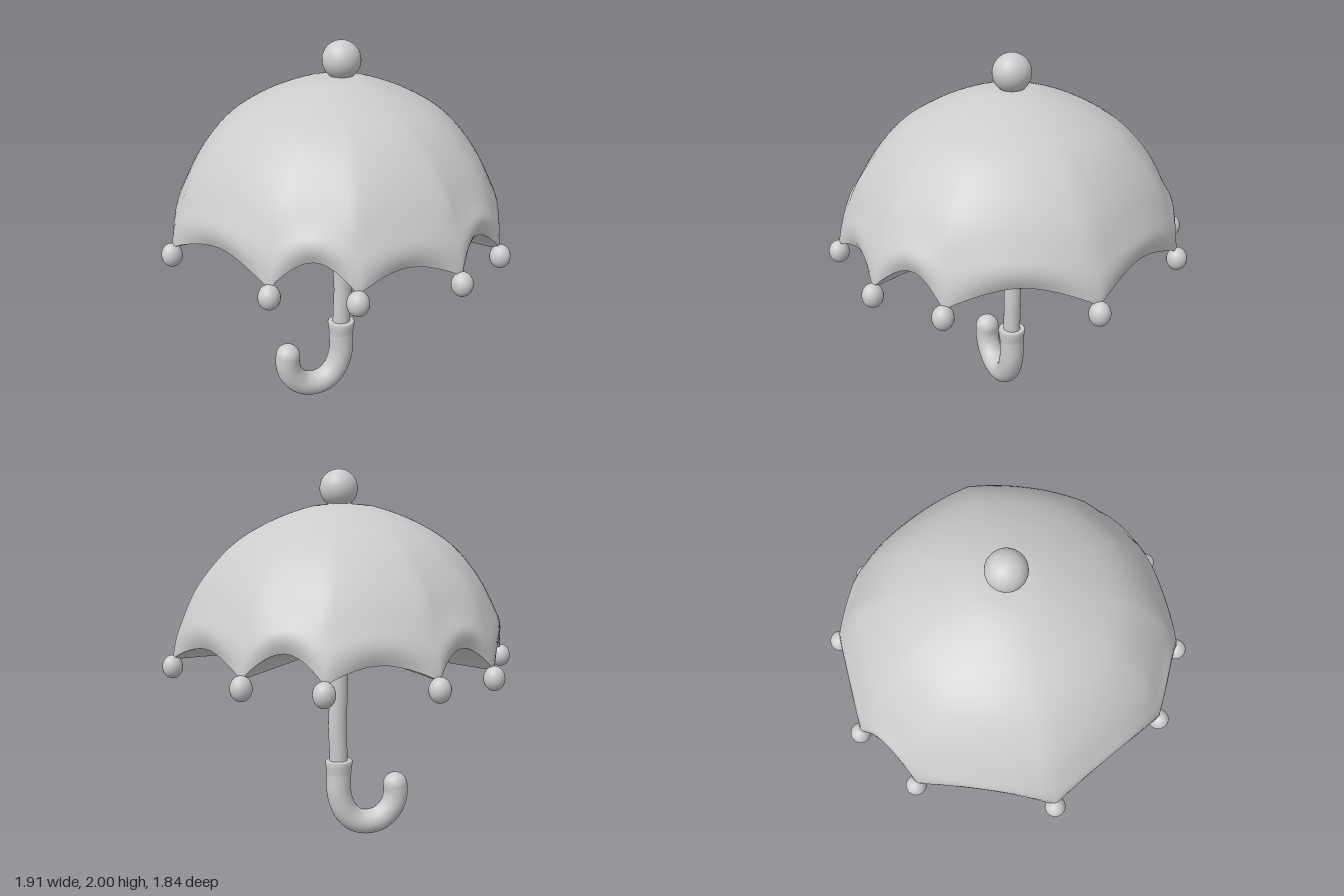
import * as THREE from 'three';

const grey = new THREE.MeshStandardMaterial({ color: 0xcccccc });
grey.name = 'soft grey';

// Rib tips around the rim: angle from +x towards +z, and distance from the axis
const ribAngles = [0, 47, 73, 107, 133, 180, 227, 253, 287, 313, 360];
const ribRadii = [0.9, 0.89, 0.905, 0.905, 0.89, 0.9, 0.89, 0.905, 0.905, 0.89, 0.9];
const STEPS = 12;

function addMesh(parent, geometry, name, x = 0, y = 0, z = 0) {
  const mesh = new THREE.Mesh(geometry, grey);
  mesh.name = name;
  mesh.position.set(x, y, z);
  parent.add(mesh);
  return mesh;
}

// Direction, radius and scallop lift of each column of the canopy
function rimColumns() {
  const columns = [];
  for (let k = 0; k < 10; k++) {
    const gap = ribAngles[k + 1] - ribAngles[k];
    const midRadius = gap > 40 ? 0.845 : gap > 30 ? 0.868 : 0.87;
    const height = gap > 40 ? 0.095 : gap > 30 ? 0.075 : 0.125;
    for (let s = 0; s < STEPS; s++) {
      const f = s / STEPS;
      const arch = Math.sin(Math.PI * f);
      const chord = THREE.MathUtils.lerp(ribRadii[k], ribRadii[k + 1], f);
      columns.push({
        angle: THREE.MathUtils.degToRad(ribAngles[k] + gap * f),
        radius: THREE.MathUtils.lerp(chord, midRadius, arch),
        arch,
        lift: height * Math.pow(arch, 0.85),
      });
    }
  }
  return columns;
}

function buildCanopy(group) {
  const columns = rimColumns();
  const n = columns.length;
  const profile = new THREE.SplineCurve([
    [0, 1.822], [0.17, 1.808], [0.4, 1.725], [0.6, 1.6], [0.77, 1.4],
    [0.86, 1.2], [0.89, 1.1], [0.9, 1.025],
  ].map(([r, y]) => new THREE.Vector2(r, y)));
  const rings = 32;
  const positions = [];
  const index = [];
  for (let i = 0; i <= rings; i++) {
    const p = profile.getPointAt(i / rings);
    const low = THREE.MathUtils.clamp((1.822 - p.y) / 0.797, 0, 1);
    const nearRim = THREE.MathUtils.smoothstep(low, 0.55, 1);
    columns.forEach((c, j) => {
      const scale = THREE.MathUtils.lerp(0.985, c.radius / 0.9, low);
      // the cloth rises and tucks in between the ribs
      const r = p.x * scale - 0.035 * c.arch * Math.pow(low, 14);
      positions.push(r * Math.cos(c.angle), p.y + c.lift * nearRim, r * Math.sin(c.angle));
      if (i === rings) return;
      const a = i * n + j, d = i * n + (j + 1) % n;
      index.push(a, d + n, a + n);
      if (i > 0) index.push(a, d, d + n);
    });
  }
  const dome = new THREE.BufferGeometry();
  dome.setAttribute('position', new THREE.Float32BufferAttribute(positions, 3));
  dome.setIndex(index);
  dome.computeVertexNormals();
  // the zero-size first ring takes a plain upward normal
  for (let j = 0; j < n; j++) dome.attributes.normal.setXYZ(j, 0, 1, 0);
  addMesh(group, dome, 'canopy');

  // Pleated underside: a fan from the shaft to the rim
  const rim = positions.slice(rings * n * 3);
  const fan = [];
  for (let j = 0; j < n; j++) {
    const k = (j + 1) % n;
    fan.push(0.02, 1.07, 0, ...rim.slice(j * 3, j * 3 + 3), ...rim.slice(k * 3, k * 3 + 3));
  }
  const under = new THREE.BufferGeometry();
  under.setAttribute('position', new THREE.Float32BufferAttribute(fan, 3));
  under.computeVertexNormals();
  addMesh(group, under, 'canopyUnderside');
}

export function createModel() {
  const group = new THREE.Group();
  group.name = 'umbrella';

  buildCanopy(group);

  // Beads on the rib tips
  const bead = new THREE.SphereGeometry(0.053, 24, 16);
  bead.scale(1, 1.15, 1);
  for (let k = 0; k < 10; k++) {
    const a = THREE.MathUtils.degToRad(ribAngles[k]);
    const r = ribRadii[k] + 0.003;
    addMesh(group, bead, 'rimBead', r * Math.cos(a), 0.986, r * Math.sin(a));
  }

  addMesh(group, new THREE.SphereGeometry(0.1, 40, 28), 'topBall', 0.022, 1.9, 0);

  // Slightly crooked shaft
  const shaftPath = new THREE.CatmullRomCurve3([
    [0.022, 0.38], [0.026, 0.5], [0.031, 0.62], [0.023, 0.82], [0.023, 1.1],
  ].map(([x, y]) => new THREE.Vector3(x, y, 0)));
  const shaft = new THREE.TubeGeometry(shaftPath, 24, 0.05, 24);
  shaft.scale(1, 1, 0.92);
  addMesh(group, shaft, 'shaft');

  // Hooked handle with a rounded tip and a collar
  const hookPath = new THREE.CatmullRomCurve3([
    [0.022, 0.42], [0.022, 0.33], [0.02, 0.24], [-0.015, 0.14], [-0.075, 0.083],
    [-0.145, 0.068], [-0.22, 0.088], [-0.28, 0.15], [-0.302, 0.22], [-0.3, 0.275],
  ].map(([x, y]) => new THREE.Vector3(x, y, 0)));
  addMesh(group, new THREE.TubeGeometry(hookPath, 64, 0.068, 28), 'handle');
  addMesh(group, new THREE.SphereGeometry(0.068, 28, 18), 'handleTip', -0.3, 0.275, 0);
  const collar = [[0, 0.432], [0.07, 0.432], [0.076, 0.426], [0.073, 0.4], [0.067, 0.35]]
    .reverse().map(([r, y]) => new THREE.Vector2(r, y));
  addMesh(group, new THREE.LatheGeometry(collar, 32), 'handleCollar', 0.022, 0, 0);

  return group;
}
